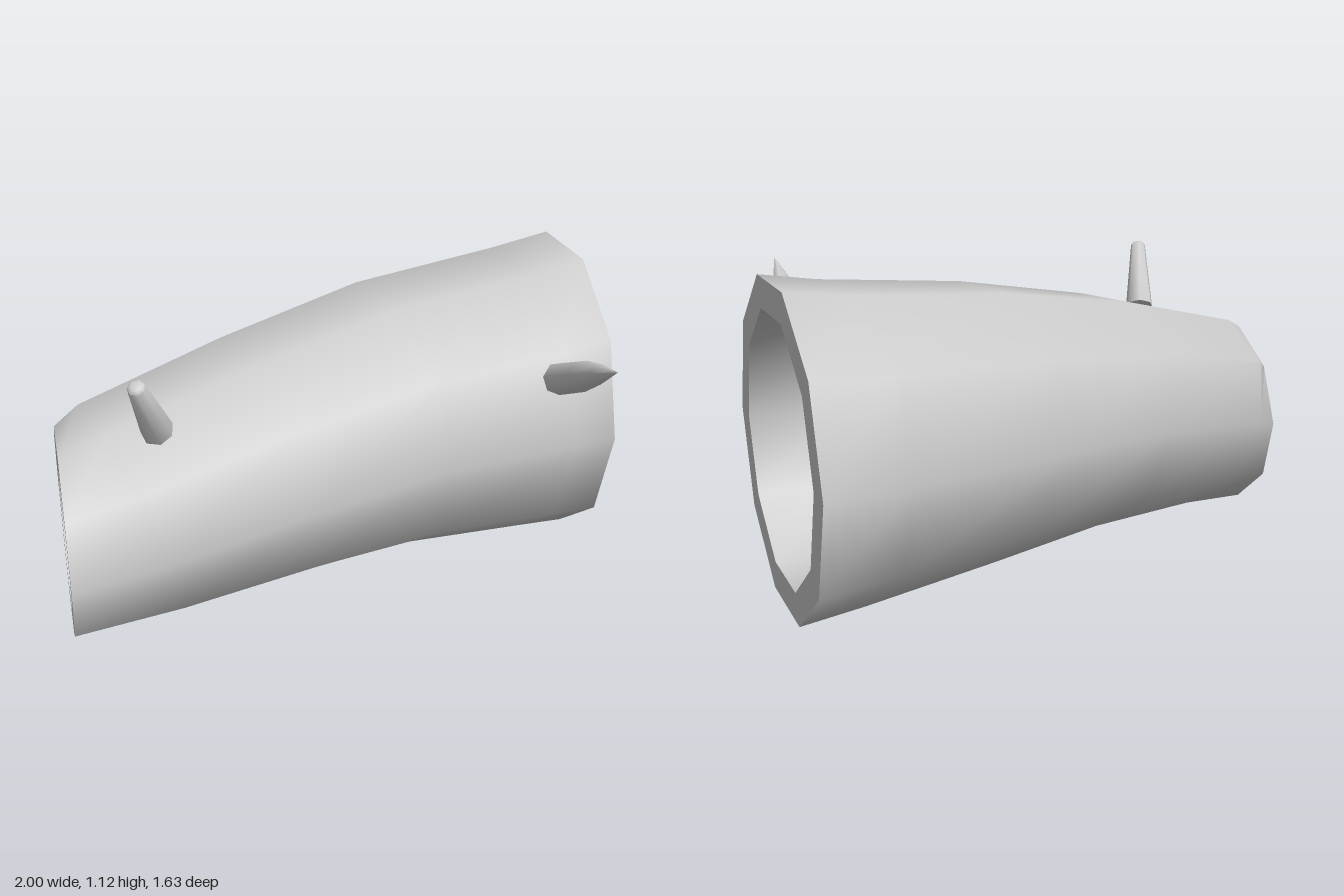
import * as THREE from 'three';
import { toCreasedNormals } from 'three/addons/utils/BufferGeometryUtils.js';

const SIDES = 10;

// Closed skin through decagonal rings: [x, y, z, radius, lean dx/dy, lean dx/dz, roll in degrees]
function loft(rings) {
  const point = ([x, y, z, r, sy, sz, roll], j) => {
    const a = (j / SIDES) * Math.PI * 2 + THREE.MathUtils.degToRad(roll);
    const dy = r * Math.sin(a), dz = r * Math.cos(a);
    return [x + sy * dy + sz * dz, y + dy, z + dz];
  };
  const pos = [];
  for (let i = 0; i < rings.length - 1; i++) {
    const p = rings[i], q = rings[i + 1];
    for (let j = 0; j < SIDES; j++) {
      const a = point(p, j), b = point(q, j), c = point(q, j + 1), d = point(p, j + 1);
      if (q[3] > 0) pos.push(...a, ...b, ...c);
      if (p[3] > 0) pos.push(...a, ...c, ...d);
    }
  }
  const g = new THREE.BufferGeometry();
  g.setAttribute('position', new THREE.Float32BufferAttribute(pos, 3));
  return toCreasedNormals(g, 0.75);
}

export function createModel() {
  const model = new THREE.Group();
  const bark = new THREE.MeshStandardMaterial({ color: 0xcccccc });
  const add = (name, geometry) => {
    const mesh = new THREE.Mesh(geometry, bark);
    mesh.name = name;
    model.add(mesh);
    return mesh;
  };

  // Bent, tapering log with a recess in each end
  add('hollowLog', loft([
    [-0.5, 0.38, 0.22, 0, 0, 0, -4],          // narrow recess floor
    [-0.5, 0.38, 0.22, 0.26, 0, 0, -4],
    [-1, 0.365, 0.237, 0.275, 0, 0, -4],      // narrow rim
    [-1, 0.365, 0.237, 0.378, 0, 0, -4],
    [-0.78, 0.40, 0.185, 0.39, -0.27, 0.3, -3], // outer bark
    [-0.275, 0.485, 0.055, 0.453, -0.17, 0.25, -2],
    [0.245, 0.537, -0.098, 0.513, -0.08, 0.23, -1],
    [0.775, 0.55, -0.195, 0.562, -0.01, 0.13, -0.5],
    [1, 0.562, -0.232, 0.588, 0, 0, -0.5],
    [1, 0.562, -0.232, 0.475, 0, 0, -0.5],    // wide rim
    [0.66, 0.562, -0.232, 0.448, 0, 0, -0.5],
    [0.66, 0.562, -0.232, 0, 0, 0, -0.5],     // wide recess floor
  ]));

  // Broken branches: lathe profile of [radius, fraction of length] aimed from base to tip
  const branch = (name, from, to, profile) => {
    const base = new THREE.Vector3(...from);
    const axis = new THREE.Vector3(...to).sub(base);
    const length = axis.length();
    const points = profile.map(([r, t]) => new THREE.Vector2(r, t * length));
    const lathe = new THREE.LatheGeometry(points, 7);
    const mesh = add(name, toCreasedNormals(lathe, 0.95));
    mesh.position.copy(base);
    mesh.quaternion.setFromUnitVectors(new THREE.Vector3(0, 1, 0), axis.normalize());
  };
  branch('pointedBranch', [0.785, 0.79, 0.285], [0.755, 1.03, 0.81],
    [[0, 0], [0.06, 0], [0.055, 0.45], [0.034, 0.72], [0, 1]]);
  branch('stubBranch', [-0.672, 0.795, 0.4], [-0.747, 1.03, 0.565],
    [[0, 0], [0.056, 0], [0.03, 0.97], [0.018, 1], [0, 1]]);

  return model;
}
